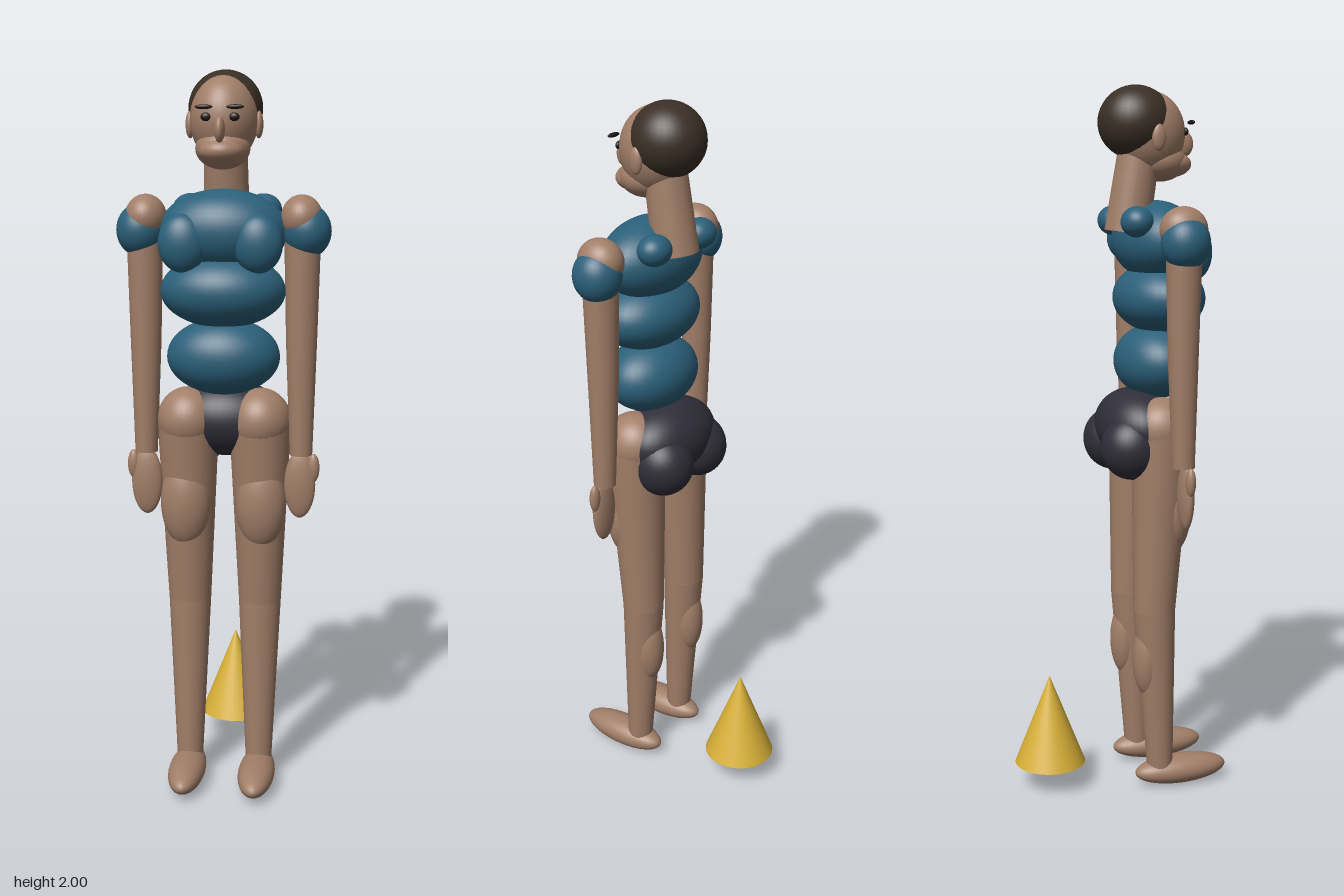
import * as THREE from 'three';

const mat = (name, color) => Object.assign(new THREE.MeshStandardMaterial({ color }), { name });

export function createModel() {
  const skin = mat('skin', 0xa17e68);
  const shirt = mat('blue shirt', 0x2b607a);
  const trunks = mat('dark trunks', 0x2f2e39);
  const hair = mat('brown hair', 0x3a2f25);
  const ink = mat('eye black', 0x1d1813);
  const gold = mat('gold cone', 0xd8b038);

  const model = new THREE.Group();
  model.name = 'figureWithCone';

  // Ellipsoid from centre and radii
  const blob = (name, material, pos, rad, parent = model) => {
    const mesh = new THREE.Mesh(new THREE.SphereGeometry(1, 36, 24), material);
    mesh.name = name;
    mesh.position.set(...pos);
    mesh.scale.set(...rad);
    parent.add(mesh);
    return mesh;
  };

  // Tapered cylinder between two points
  const limb = (name, material, from, to, r0, r1, parent = model) => {
    const a = new THREE.Vector3(...from), b = new THREE.Vector3(...to);
    const dir = b.clone().sub(a);
    const mesh = new THREE.Mesh(new THREE.CylinderGeometry(r1, r0, dir.length(), 32), material);
    mesh.name = name;
    mesh.position.copy(a).add(b).multiplyScalar(0.5);
    mesh.quaternion.setFromUnitVectors(new THREE.Vector3(0, 1, 0), dir.normalize());
    parent.add(mesh);
    return mesh;
  };

  // Head
  const head = new THREE.Group();
  head.name = 'head';
  model.add(head);
  blob('skull', skin, [0, 1.87, 0.095], [0.091, 0.115, 0.1], head);
  blob('hair', hair, [0, 1.9, 0.055], [0.1, 0.1, 0.105], head);
  blob('jaw', skin, [0, 1.795, 0.125], [0.073, 0.055, 0.075], head);
  blob('muzzle', skin, [0, 1.788, 0.152], [0.062, 0.037, 0.064], head);
  blob('nose', skin, [0, 1.843, 0.2], [0.014, 0.034, 0.025], head);
  limb('neck', skin, [0, 1.6, 0.03], [0, 1.84, 0.068], 0.063, 0.058);

  // Torso
  blob('chest', shirt, [0, 1.58, 0.113], [0.175, 0.11, 0.115]);
  blob('midriff', shirt, [0, 1.42, 0.125], [0.17, 0.1, 0.125]);
  blob('belly', shirt, [0, 1.24, 0.115], [0.155, 0.105, 0.113]);
  blob('pelvis', trunks, [0, 1.06, 0.06], [0.165, 0.107, 0.115]);

  for (const s of [1, -1]) {
    const side = s > 0 ? 'left' : 'right';
    const group = (part) => {
      const g = new THREE.Group();
      g.name = side + part;
      model.add(g);
      return g;
    };

    // Face details
    const face = group('FaceDetails');
    blob('eye', ink, [s * 0.037, 1.875, 0.187], [0.014, 0.011, 0.008], face);
    blob('brow', ink, [s * 0.041, 1.9, 0.203], [0.023, 0.006, 0.007], face);
    blob('ear', skin, [s * 0.092, 1.857, 0.09], [0.012, 0.036, 0.02], face);

    // Upper body muscles
    const upper = group('UpperBody');
    blob('trapezius', shirt, [s * 0.1, 1.633, 0.025], [0.05, 0.042, 0.045], upper);
    blob('pectoral', shirt, [s * 0.1, 1.55, 0.19], [0.066, 0.078, 0.048], upper);
    blob('buttock', trunks, [s * 0.08, 1.01, 0.02], [0.085, 0.092, 0.09], upper);

    // Arm
    const arm = group('Arm');
    blob('shoulder', skin, [s * 0.21, 1.615, 0.117], [0.056, 0.061, 0.066], arm);
    blob('sleeve', shirt, [s * 0.225, 1.58, 0.117], [0.065, 0.072, 0.067], arm);
    limb('upperArm', skin, [s * 0.213, 1.6, 0.117], [s * 0.213, 1.28, 0.117], 0.05, 0.042, arm);
    blob('elbow', skin, [s * 0.213, 1.28, 0.117], [0.042, 0.042, 0.042], arm);
    limb('forearm', skin, [s * 0.213, 1.28, 0.117], [s * 0.215, 0.97, 0.12], 0.042, 0.031, arm);
    blob('hand', skin, [s * 0.213, 0.888, 0.128], [0.043, 0.095, 0.02], arm);
    blob('thumb', skin, [s * 0.25, 0.935, 0.128], [0.017, 0.04, 0.014], arm);

    // Leg
    const leg = group('Leg');
    blob('hip', skin, [s * 0.1, 1.06, 0.1], [0.086, 0.09, 0.09], leg);
    limb('thigh', skin, [s * 0.1, 1.06, 0.1], [s * 0.1, 0.54, 0.08], 0.086, 0.06, leg);
    blob('quadriceps', skin, [s * 0.105, 0.83, 0.125], [0.07, 0.13, 0.057], leg);
    blob('knee', skin, [s * 0.1, 0.54, 0.08], [0.06, 0.06, 0.06], leg);
    limb('shin', skin, [s * 0.1, 0.54, 0.08], [s * 0.1, 0.05, 0.1], 0.06, 0.037, leg);
    blob('calf', skin, [s * 0.1, 0.39, 0.06], [0.045, 0.11, 0.043], leg);
    blob('foot', skin, [s * 0.1, 0.042, 0.165], [0.052, 0.042, 0.14], leg);
  }

  // Cone standing behind the figure
  const cone = new THREE.Mesh(new THREE.ConeGeometry(0.102, 0.26, 32), gold);
  cone.name = 'cone';
  cone.position.set(0, 0.205, -0.205);
  model.add(cone);

  return model;
}
